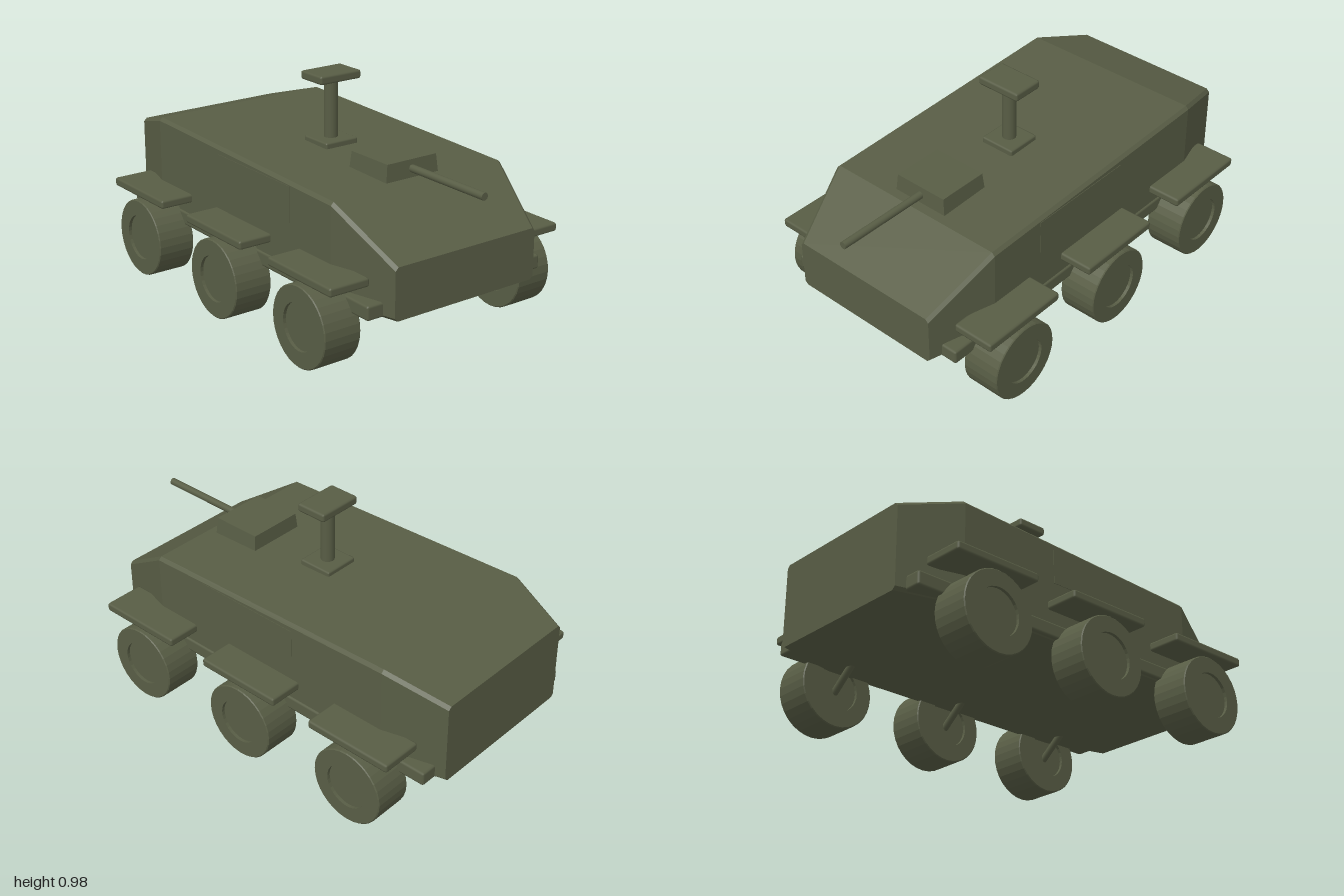
import * as THREE from 'three';
import { RoundedBoxGeometry } from 'three/addons/geometries/RoundedBoxGeometry.js';

const olive = new THREE.MeshStandardMaterial({ color: 0x585d45 });
olive.name = 'olive drab';

// Faceted normals for hard-edged parts
function faceted(geometry) {
  const g = geometry.index ? geometry.toNonIndexed() : geometry;
  g.computeVertexNormals();
  return g;
}

function add(parent, name, geometry, x = 0, y = 0, z = 0) {
  const mesh = new THREE.Mesh(geometry, olive);
  mesh.name = name;
  mesh.position.set(x, y, z);
  parent.add(mesh);
  return mesh;
}

// Round bar between two points
function rod(parent, name, from, to, radius) {
  const a = new THREE.Vector3(...from), b = new THREE.Vector3(...to);
  const dir = b.clone().sub(a);
  const mesh = add(parent, name, new THREE.CylinderGeometry(radius, radius, dir.length(), 16));
  mesh.position.copy(a).add(b).multiplyScalar(0.5);
  mesh.quaternion.setFromUnitVectors(new THREE.Vector3(0, 1, 0), dir.normalize());
  return mesh;
}

// Solid lofted through chamfered sections [z, halfWidth, bottom, top, chamfer]
function loft(sections) {
  const pos = [], idx = [], n = 8;
  for (const [z, w, b, t, c] of sections) {
    const half = [[w - c, b], [w, b + c], [w, t - c], [w - c, t]];
    const ring = [...half, ...half.slice().reverse().map(([x, y]) => [-x, y])];
    for (const [x, y] of ring) pos.push(x, y, z);
  }
  const last = (sections.length - 1) * n;
  for (let i = 0; i < last; i += n) {
    for (let j = 0; j < n; j++) {
      const k = (j + 1) % n;
      idx.push(i + j, i + k, i + n + k, i + j, i + n + k, i + n + j);
    }
  }
  for (let j = 1; j < n - 1; j++) {
    idx.push(0, j + 1, j, last, last + j, last + j + 1);
  }
  const g = new THREE.BufferGeometry();
  g.setAttribute('position', new THREE.Float32BufferAttribute(pos, 3));
  g.setIndex(idx);
  return faceted(g);
}

// Wheel with a shallow dish on both faces, axle along x
function wheelGeometry() {
  const r = 0.172, h = 0.086, hub = 0.1, dish = 0.014;
  const profile = [
    [0, -h + dish], [hub, -h + dish], [hub, -h], [r - 0.004, -h], [r, -h + 0.004],
    [r, h - 0.004], [r - 0.004, h], [hub, h], [hub, h - dish], [0, h - dish],
  ].map(([x, y]) => new THREE.Vector2(x, y));
  return faceted(new THREE.LatheGeometry(profile, 32)).rotateZ(Math.PI / 2);
}

export function createModel() {
  const model = new THREE.Group();
  model.name = 'armouredVehicle';
  const vehicle = new THREE.Group();
  vehicle.name = 'vehicle';
  vehicle.rotation.y = 0.651; // parked at an angle
  model.add(vehicle);

  // Hull with tapered, sloping nose and tail
  add(vehicle, 'hull', loft([
    [-0.918, 0.362, 0.24, 0.61, 0.014],
    [-0.645, 0.438, 0.24, 0.69, 0.014],
    [0.61, 0.438, 0.24, 0.652, 0.014],
    [0.905, 0.358, 0.24, 0.46, 0.014],
  ]));

  // Running gear, mirrored
  const wheel = wheelGeometry();
  const fender = new RoundedBoxGeometry(0.188, 0.038, 0.41, 1, 0.01);
  for (const side of [1, -1]) {
    add(vehicle, 'sideRail', new RoundedBoxGeometry(0.1, 0.062, 1.725, 1, 0.01), side * 0.396, 0.276, -0.012);
    add(vehicle, 'sideHatch', new THREE.BoxGeometry(0.006, 0.152, 0.51), side * 0.437, 0.566, 0.085);
    for (const z of [-0.6, 0, 0.6]) {
      add(vehicle, 'wheel', wheel, side * 0.501, 0.172, z);
      add(vehicle, 'fender', fender, side * 0.494, 0.381, z);
      rod(vehicle, 'suspensionArm', [side * 0.44, 0.155, z], [side * 0.3, 0.268, z], 0.016);
    }
  }

  // Low gun turret
  const turret = new THREE.Group();
  turret.name = 'turret';
  turret.position.z = 0.45;
  vehicle.add(turret);
  const body = new THREE.BoxGeometry(0.27, 0.09, 0.24);
  const p = body.attributes.position;
  for (let i = 0; i < p.count; i++) {
    if (p.getY(i) > 0) p.setXYZ(i, p.getX(i) * 0.93, p.getY(i), p.getZ(i) * 0.95);
  }
  add(turret, 'turretBody', faceted(body), 0, 0.683, 0);
  rod(turret, 'gunBarrel', [0, 0.69, 0.08], [0, 0.69, 0.54], 0.016);

  // Sensor mast
  const mast = new THREE.Group();
  mast.name = 'sensorMast';
  mast.position.z = 0.03;
  vehicle.add(mast);
  add(mast, 'mastBase', new RoundedBoxGeometry(0.165, 0.04, 0.16, 1, 0.008), 0, 0.672, 0);
  rod(mast, 'mastPole', [0, 0.66, 0], [0, 0.96, 0], 0.03);
  add(mast, 'mastHead', new RoundedBoxGeometry(0.21, 0.038, 0.145, 1, 0.01), 0, 0.962, 0);

  return model;
}
